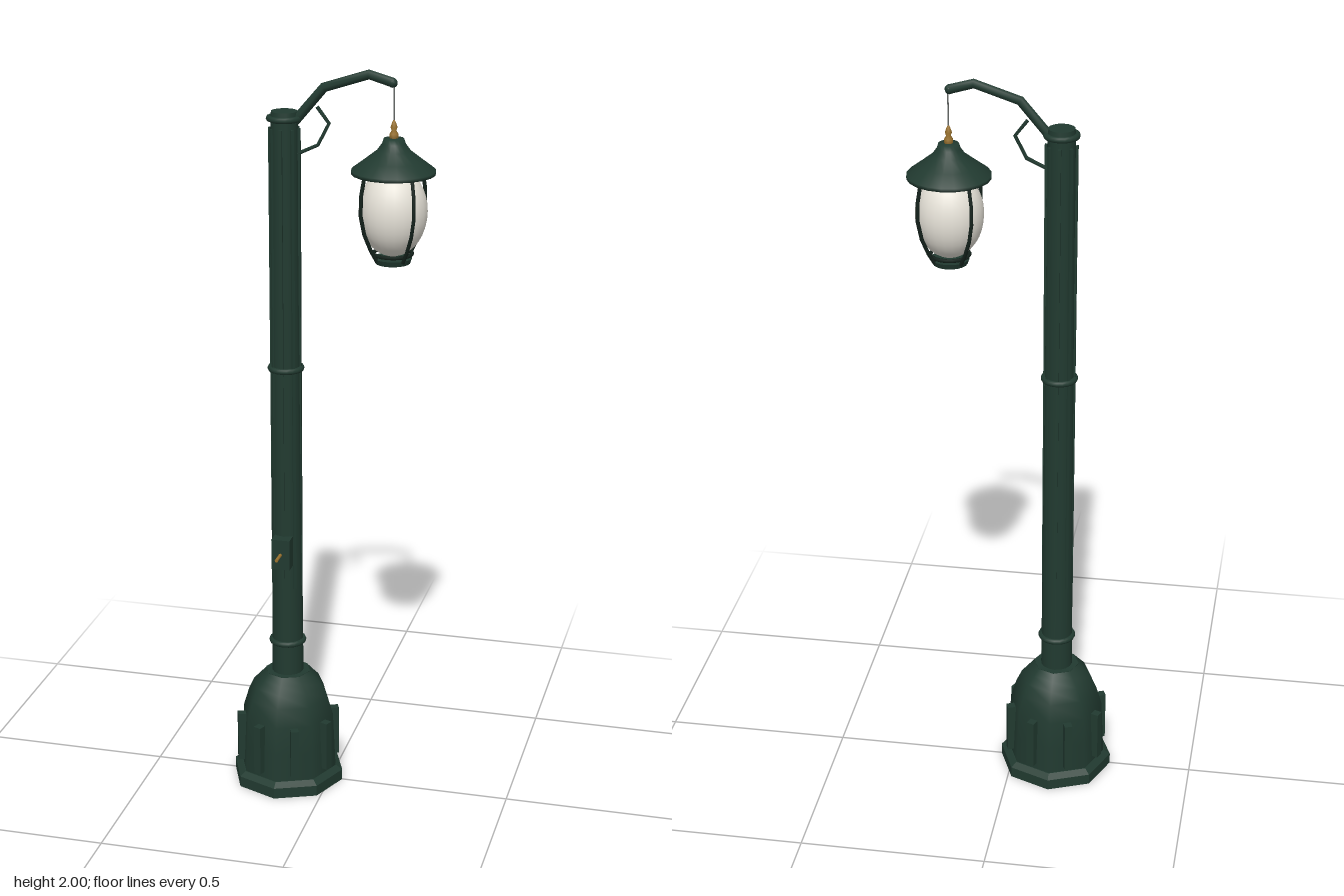
import * as THREE from 'three';

const mat = (name, color, side = THREE.FrontSide) => {
  const m = new THREE.MeshStandardMaterial({ color, side });
  m.name = name;
  return m;
};

export function createModel() {
  const green = mat('dark green iron', 0x213a30, THREE.DoubleSide);
  const iron = mat('blackened iron', 0x14221c, THREE.DoubleSide);
  const brass = mat('brass', 0x9c7430);
  const glass = mat('frosted glass', 0xe6e2d8);
  const steel = mat('wire steel', 0x6a6e6c);

  const model = new THREE.Group();
  const post = new THREE.Group();
  post.name = 'post';
  post.position.x = -0.12;
  const lantern = new THREE.Group();
  lantern.name = 'lantern';
  lantern.position.x = 0.165;
  model.add(post, lantern);

  const add = (parent, name, geo, material, x = 0, y = 0, z = 0) => {
    const m = new THREE.Mesh(geo, material);
    m.name = name;
    m.position.set(x, y, z);
    parent.add(m);
    return m;
  };
  // profile as [radius, height] pairs
  const lathe = (pts, sides) =>
    new THREE.LatheGeometry(pts.map(([r, y]) => new THREE.Vector2(r, y)), sides);
  // tube bent exactly at the given points
  const bentTube = (pts, radius, sides = 8) => {
    const curve = new THREE.CatmullRomCurve3(pts.map(p => new THREE.Vector3(...p)));
    curve.getUtoTmapping = u => u;
    return new THREE.TubeGeometry(curve, pts.length - 1, radius, sides);
  };
  const ring = (name, r, y, t) => {
    add(post, name, new THREE.TorusGeometry(r, t, 8, 20), green, 0, y).rotation.x = Math.PI / 2;
  };

  // Octagonal foot
  const plinth = new THREE.CylinderGeometry(0.155, 0.155, 0.03, 8).toNonIndexed();
  plinth.computeVertexNormals();
  add(post, 'plinth', plinth, green, 0, 0.015);
  const bevel = new THREE.CylinderGeometry(0.138, 0.155, 0.012, 8).toNonIndexed();
  bevel.computeVertexNormals();
  add(post, 'plinthBevel', bevel, green, 0, 0.036);
  add(post, 'pedestal', lathe([[0.136, 0.035], [0.132, 0.12], [0.128, 0.2], [0.113, 0.25],
    [0.097, 0.285], [0.078, 0.305], [0.062, 0.323]], 8), green);
  add(post, 'pedestalTop', new THREE.CylinderGeometry(0.062, 0.062, 0.006, 8), green, 0, 0.321);

  // Upright slats on the pedestal faces
  for (let i = 0; i < 8; i++) {
    const a = (i + 0.5) * Math.PI / 4;
    const slat = add(post, 'pedestalSlat', new THREE.BoxGeometry(0.022, 0.14, 0.022), green,
      Math.sin(a) * 0.13, 0.128, Math.cos(a) * 0.13);
    slat.rotation.y = a;
  }

  // Tapered pole with straight flutes
  add(post, 'pole', new THREE.CylinderGeometry(0.035, 0.043, 1.55, 16), green, 0, 1.095);
  for (let i = 0; i < 8; i++) {
    const a = i * Math.PI / 4;
    const flute = add(post, 'flute', new THREE.BoxGeometry(0.008, 1.26, 0.006), green,
      Math.sin(a) * 0.039, 1.21, Math.cos(a) * 0.039);
    flute.rotation.y = a;
  }
  ring('lowerCollar', 0.043, 0.415, 0.008);
  ring('middleCollar', 0.041, 1.2, 0.008);
  ring('topCollar', 0.039, 1.865, 0.008);
  add(post, 'poleCap', new THREE.CylinderGeometry(0.034, 0.036, 0.02, 16), green, 0, 1.873);

  // Service box with brass handle
  add(post, 'serviceBox', new THREE.BoxGeometry(0.05, 0.085, 0.04), green, 0, 0.692, 0.05);
  add(post, 'handle', new THREE.CylinderGeometry(0.0045, 0.0045, 0.045, 8), brass,
    0, 0.692, 0.0885).rotation.x = Math.PI / 2;

  // Arm and small scroll bracket
  add(model, 'arm', bentTube([[-0.095, 1.855, 0], [-0.016, 1.948, 0], [0.1, 1.986, 0],
    [0.163, 1.968, 0]], 0.0125), green);
  add(model, 'armTip', new THREE.SphereGeometry(0.0125, 8, 6), green, 0.161, 1.968, 0);
  add(model, 'bracket', bentTube([[-0.085, 1.775, 0], [-0.032, 1.8, 0], [-0.003, 1.857, 0],
    [-0.034, 1.898, 0]], 0.005, 6), green);

  // Hanging wire and brass finial
  add(lantern, 'wire', new THREE.CylinderGeometry(0.002, 0.002, 0.11, 6), steel, 0, 1.915);
  add(lantern, 'finial', lathe([[0, 1.82], [0.012, 1.825], [0.011, 1.84], [0.006, 1.848],
    [0.009, 1.856], [0.005, 1.868], [0, 1.878]], 10), brass);

  // Flared shade, closed underneath
  add(lantern, 'shade', lathe([[0.07, 1.738], [0.108, 1.738], [0.108, 1.747], [0.075, 1.772],
    [0.043, 1.797], [0.03, 1.815], [0.026, 1.828], [0, 1.83]], 20), green);
  add(lantern, 'shadeUnderside', new THREE.CylinderGeometry(0.075, 0.075, 0.008, 20), green, 0, 1.741);

  // Glass globe
  add(lantern, 'globe', new THREE.SphereGeometry(0.088, 24, 18), glass, 0, 1.64).scale.y = 1.32;

  // Cage of four curved ribs and a bottom dish
  for (let i = 0; i < 4; i++) {
    const rib = add(lantern, 'cageRib', bentTube([[0.085, 1.745, 0], [0.096, 1.69, 0],
      [0.097, 1.64, 0], [0.086, 1.59, 0], [0.066, 1.545, 0], [0.048, 1.515, 0]], 0.005, 6), iron);
    rib.rotation.y = (i + 0.5) * Math.PI / 2;
  }
  add(lantern, 'cageRing', new THREE.TorusGeometry(0.05, 0.005, 6, 20), iron, 0, 1.53).rotation.x = Math.PI / 2;
  add(lantern, 'bottomDish', new THREE.CylinderGeometry(0.05, 0.045, 0.014, 20), green, 0, 1.512);

  return model;
}
